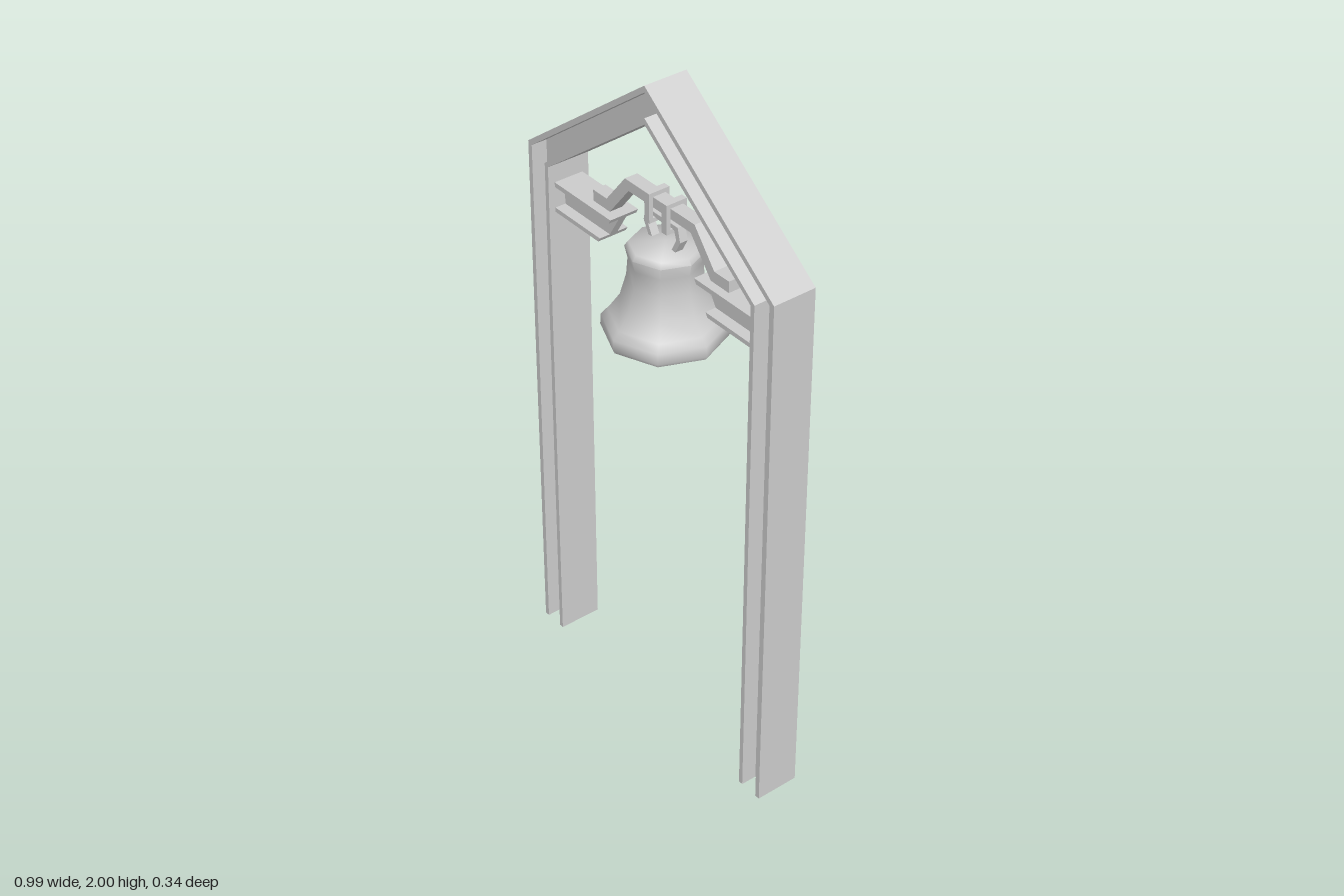
import * as THREE from 'three';
import { toCreasedNormals } from 'three/addons/utils/BufferGeometryUtils.js';

const material = new THREE.MeshStandardMaterial({ color: 0xcccccc });

function add(parent, name, geometry) {
  const mesh = new THREE.Mesh(geometry, material);
  mesh.name = name;
  parent.add(mesh);
  return mesh;
}

// Extrudes an outline, centred on z = 0
function plate(points, depth, hole) {
  const toVec = (p) => new THREE.Vector2(p[0], p[1]);
  const shape = new THREE.Shape(points.map(toVec));
  if (hole) shape.holes.push(new THREE.Path(hole.map(toVec)));
  return new THREE.ExtrudeGeometry(shape, { depth, bevelEnabled: false }).translate(0, 0, -depth / 2);
}

// Gabled portal line, inset by d from the outer face
function portalLine(d) {
  const slope = 0.375 / 0.495;
  const x = 0.495 - d;
  const apex = 2 - d * Math.hypot(1, slope);
  const eave = apex - x * slope;
  return [[x, 0], [x, eave], [0, apex], [-x, eave], [-x, 0]];
}

const portalBand = (d0, d1, depth) =>
  plate([...portalLine(d0), ...portalLine(d1).reverse()], depth);

export function createModel() {
  const model = new THREE.Group();
  model.name = 'bellFrame';

  // Portal made of a bent I-beam
  const portal = new THREE.Group();
  portal.name = 'portal';
  model.add(portal);
  add(portal, 'outerFlange', portalBand(0, 0.015, 0.13));
  add(portal, 'web', portalBand(0.015, 0.071, 0.035));
  add(portal, 'innerFlange', portalBand(0.071, 0.085, 0.13));

  // Short I-beam brackets with slanted ends
  const endX = (y) => 0.17 + (1.53 - y) * 0.6;
  for (const side of [1, -1]) {
    const bracket = new THREE.Group();
    bracket.name = side > 0 ? 'leftBracket' : 'rightBracket';
    if (side < 0) bracket.rotation.y = Math.PI;
    model.add(bracket);
    const layers = [
      ['bottomFlange', 1.44, 1.453, 0.09],
      ['web', 1.453, 1.516, 0.025],
      ['topFlange', 1.516, 1.53, 0.09],
    ];
    for (const [name, y0, y1, depth] of layers) {
      add(bracket, name, plate([[endX(y0), y0], [0.412, y0], [0.412, y1], [endX(y1), y1]], depth));
    }
  }

  // Cranked yoke resting on the brackets
  const half = [[0.125, 1.63], [0.205, 1.53], [0.275, 1.53], [0.275, 1.563], [0.218, 1.563], [0.14, 1.66]];
  const mirrored = half.map(([x, y]) => [-x, y]).reverse();
  add(model, 'yoke', plate([...half, ...mirrored], 0.04));

  // Straps looped over the yoke
  const outer = [[-0.032, 1.586], [0.032, 1.586], [0.032, 1.672], [-0.032, 1.672]];
  const inner = [[-0.02, 1.598], [-0.02, 1.66], [0.02, 1.66], [0.02, 1.598]];
  for (const x of [-0.035, 0.035]) {
    add(model, 'strap', plate(outer, 0.02, inner).rotateY(Math.PI / 2).translate(x, 0, 0));
  }

  // Crown loop on top of the bell
  const loopOuter = [[0.045, 1.515], [0.074, 1.57], [0.064, 1.61], [-0.064, 1.61], [-0.074, 1.57], [-0.045, 1.515]];
  const loopInner = [[-0.03, 1.515], [-0.058, 1.57], [-0.05, 1.596], [0.05, 1.596], [0.058, 1.57], [0.03, 1.515]];
  add(model, 'crownLoop', plate([...loopOuter, ...loopInner], 0.024));

  // Hollow eight-sided bell with smooth flanks
  const profile = [
    [0, 1.495], [0.07, 1.49], [0.08, 1.44], [0.098, 1.37], [0.145, 1.3], [0.154, 1.262],
    [0.165, 1.262], [0.17, 1.272], [0.168, 1.302], [0.15, 1.322], [0.118, 1.368],
    [0.101, 1.43], [0.097, 1.48], [0.105, 1.515], [0.095, 1.53], [0, 1.538],
  ].map(([r, y]) => new THREE.Vector2(r, y));
  add(model, 'bell', toCreasedNormals(new THREE.LatheGeometry(profile, 8), 1.0));

  return model;
}
